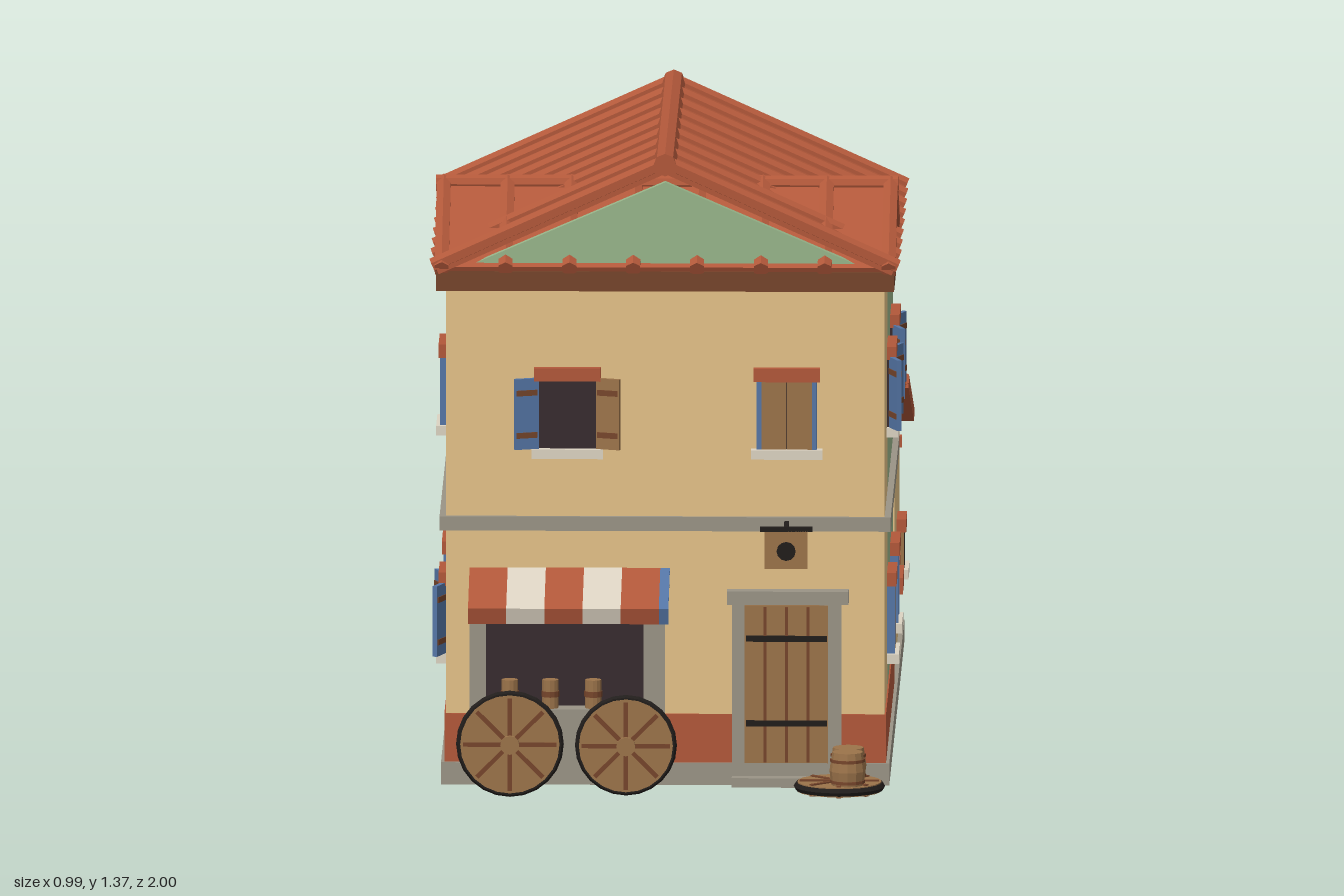
import * as THREE from 'three';

const mat = (name, color) => {
  const m = new THREE.MeshStandardMaterial({ color, flatShading: true });
  m.name = name;
  return m;
};

export function createModel() {
  const tan = mat('tan plaster', 0xe4c288), green = mat('green plaster', 0x98b58a);
  const tile = mat('terracotta', 0xb2583a), stone = mat('grey stone', 0x9a9486);
  const pale = mat('pale stone', 0xdcd3c2), blue = mat('blue paint', 0x5576a6);
  const wood = mat('wood', 0x9b734a), darkWood = mat('dark wood', 0x76452b);
  const dark = mat('dark opening', 0x372c2f), iron = mat('iron', 0x211d1b);
  const house = new THREE.Group();
  house.name = 'house';

  const add = (name, geo, m, x, y, z, parent = house) => {
    const o = new THREE.Mesh(geo, m);
    o.name = name;
    o.position.set(x, y, z);
    parent.add(o);
    return o;
  };
  const group = (name, x, y, z, ry = 0, parent = house) => {
    const g = new THREE.Group();
    g.name = name;
    g.position.set(x, y, z);
    g.rotation.y = ry;
    parent.add(g);
    return g;
  };
  const box = (name, m, w, h, d, x, y, z, p) => add(name, new THREE.BoxGeometry(w, h, d), m, x, y, z, p);
  // box given by its limits on each axis
  const span = (name, m, x0, x1, y0, y1, z0, z1) =>
    box(name, m, x1 - x0, y1 - y0, z1 - z0, (x0 + x1) / 2, (y0 + y1) / 2, (z0 + z1) / 2);
  const cyl = (name, m, r, h, x, y, z, p, sides = 12) =>
    add(name, new THREE.CylinderGeometry(r, r, h, sides), m, x, y, z, p);
  // flat outline extruded along local z
  const plate = (name, m, points, depth, x, y, z, ry = 0) => {
    const shape = new THREE.Shape(points.map(([a, b]) => new THREE.Vector2(a, b)));
    const o = add(name, new THREE.ExtrudeGeometry(shape, { depth, bevelEnabled: false }), m, x, y, z);
    o.rotation.y = ry;
  };

  // Plinth: solid below the house, an open frame below the rear shed
  span('plinth', stone, -0.47, 0.47, 0.03, 0.077, -0.21, 0.81);
  span('underside', green, -0.46, 0.46, 0.027, 0.031, -0.2, 0.47);
  span('rearPlinth', stone, -0.47, 0.47, 0.03, 0.077, -0.975, -0.91);
  for (const s of [-1, 1]) box('sidePlinth', stone, 0.06, 0.047, 0.7, s * 0.44, 0.0535, -0.56);

  // House walls
  span('frontWalls', tan, -0.46, 0.46, 0.077, 1.1, 0.47, 0.8);
  span('rearWalls', green, -0.46, 0.46, 0.077, 1.1, -0.21, 0.47);
  span('wainscot', tile, -0.463, 0.463, 0.077, 0.18, -0.213, 0.803);
  span('stoneBand', stone, -0.473, 0.473, 0.57, 0.6, -0.22, 0.81);
  span('eaveBeam', darkWood, -0.48, 0.48, 1.08, 1.122, -0.223, 0.812);
  const gable = [[-0.45, 0], [0.45, 0], [0, 0.195]];
  plate('frontGable', green, gable, 0.02, 0, 1.115, 0.78);
  plate('rearGable', green, gable, 0.02, 0, 1.115, -0.21);

  // Tiled slope: eave on the local x axis, climbing towards local -z
  const slope = (name, width, run, rise, ribs, x, y, z, ry) => {
    const g = group(name, x, y, z, ry), tilt = group('tiles', 0, 0, 0, 0, g);
    const len = Math.hypot(run, rise);
    tilt.rotation.x = Math.atan2(rise, run);
    box('tileSheet', tile, width, 0.02, len, 0, -0.003, -len / 2, tilt);
    for (let i = 0; i < ribs; i++) {
      const rx = -width / 2 + 0.014 + (i * (width - 0.028)) / (ribs - 1);
      cyl('tileRib', tile, 0.017, len + 0.01, rx, 0.006, -len / 2, tilt, 6).rotation.x = Math.PI / 2;
    }
  };
  const H = Math.PI / 2;
  for (const s of [-1, 1]) slope('mainSlope', 1.04, 0.48, 0.217, 9, s * 0.48, 1.128, 0.297, s * H);
  cyl('mainRidge', tile, 0.024, 1.045, 0, 1.35, 0.297, house, 8).rotation.x = H;
  // Cross gable over the front half
  slope('crossSlope', 0.965, 0.265, 0.135, 8, 0, 1.125, 0.81, 0);
  slope('crossSlope', 0.965, 0.265, 0.135, 8, 0, 1.125, 0.28, Math.PI);
  cyl('crossRidge', tile, 0.018, 0.97, 0, 1.264, 0.545, house, 8).rotation.z = H;
  for (const s of [-1, 1])
    plate('crossGable', tan, [[-0.24, 0], [0.24, 0], [0, 0.125]], 0.02, s * 0.45 - 0.01, 1.117, 0.545, H);

  // Window with sill and lintel, facing local +z
  const windowAt = (kind, x, y, z, ry, leaves = [blue, blue]) => {
    const g = group(kind + 'Window', x, y, z, ry);
    const barred = kind === 'barred', open = kind === 'open';
    const w = barred ? 0.09 : 0.125, h = barred ? 0.085 : 0.15;
    box('opening', dark, w, h, 0.008, 0, 0, 0.003, g);
    box('lintel', tile, w + 0.015, 0.028, 0.028, 0, h / 2 + 0.008, 0.006, g);
    box('sill', pale, w + 0.025, 0.02, 0.034, 0, -h / 2 - 0.01, 0.008, g);
    if (barred) {
      for (const bx of [-0.03, -0.01, 0.01, 0.03]) box('bar', iron, 0.006, h, 0.008, bx, 0, 0.012, g);
      for (const s of [-1, 1]) box('jamb', wood, 0.01, h, 0.014, s * 0.044, 0, 0.008, g);
      return;
    }
    for (const s of [-1, 1]) {
      const leaf = leaves[s < 0 ? 0 : 1];
      const sh = group('shutter', s * (open ? 0.086 : 0.027), 0, open ? 0.018 : 0.011, open ? s * -0.35 : 0, g);
      box('leaf', leaf, 0.052, h, 0.01, 0, 0, 0, sh);
      if (open) for (const hy of [-0.045, 0.045]) box('strap', darkWood, 0.046, 0.012, 0.014, 0, hy, 0, sh);
      else box('jamb', blue, 0.01, h, 0.018, s * 0.058, 0, 0.008, g);
    }
  };
  windowAt('open', -0.205, 0.82, 0.8, 0, [blue, wood]);
  windowAt('closed', 0.255, 0.82, 0.8, 0, [wood, wood]);
  windowAt('open', 0.46, 0.82, 0.47, H, [blue, blue]);
  windowAt('open', 0.46, 0.82, 0.075, H);
  windowAt('closed', 0.46, 0.335, 0.45, H, [blue, wood]);
  windowAt('closed', 0.46, 0.335, 0.075, H);
  windowAt('closed', -0.46, 0.82, 0.46, -H, [wood, blue]);
  windowAt('open', -0.46, 0.335, 0.46, -H);
  windowAt('closed', -0.46, 0.335, 0.075, -H);
  windowAt('closed', 0.225, 0.82, -0.21, Math.PI);
  windowAt('open', -0.21, 0.82, -0.21, Math.PI);

  // Shop front with counter, cups and striped awning lined in blue
  span('shopFrame', stone, -0.41, 0, 0.077, 0.42, 0.79, 0.815);
  span('shopOpening', dark, -0.375, -0.045, 0.2, 0.405, 0.81, 0.818);
  span('counter', stone, -0.38, -0.04, 0.05, 0.2, 0.81, 0.87);
  for (const x of [-0.325, -0.24, -0.15]) {
    cyl('cup', wood, 0.017, 0.06, x, 0.23, 0.845);
    cyl('cupBand', darkWood, 0.019, 0.012, x, 0.23, 0.845);
  }
  const awning = group('awning', 0, 0.49, 0.81);
  awning.rotation.x = 0.29;
  const stripe = (m, x, w) => {
    box('awningStripe', m, w, 0.004, 0.195, x, 0, 0.0975, awning);
    box('awningValance', m, w, 0.035, 0.004, x, -0.016, 0.193, awning);
  };
  for (let i = 0; i < 5; i++) stripe(i % 2 ? pale : tile, -0.37 + i * 0.08, 0.08);
  stripe(blue, 0, 0.02);
  box('awningLining', blue, 0.42, 0.003, 0.19, -0.2, -0.004, 0.095, awning);
  box('valanceLining', blue, 0.42, 0.032, 0.003, -0.2, -0.017, 0.189, awning);

  // Door with stone surround, straps and step
  span('doorFrame', stone, 0.14, 0.37, 0.077, 0.42, 0.79, 0.82);
  span('doorLintel', stone, 0.13, 0.385, 0.418, 0.446, 0.79, 0.835);
  span('door', wood, 0.167, 0.342, 0.08, 0.415, 0.81, 0.826);
  for (const x of [0.21, 0.255, 0.3]) box('plankGap', darkWood, 0.006, 0.33, 0.006, x, 0.247, 0.826);
  for (const y of [0.165, 0.345]) box('doorStrap', iron, 0.17, 0.012, 0.008, 0.255, y, 0.828);
  span('doorStep', stone, 0.14, 0.35, 0.03, 0.05, 0.8, 0.84);

  // Hanging sign on an iron bracket
  span('signBracket', iron, 0.25, 0.26, 0.58, 0.592, 0.8, 0.88);
  box('signRail', iron, 0.11, 0.01, 0.012, 0.255, 0.586, 0.875);
  box('signBoard', wood, 0.09, 0.08, 0.012, 0.255, 0.542, 0.875);
  for (const s of [-1, 1]) cyl('signDisc', iron, 0.02, 0.004, 0.255, 0.54, 0.875 + s * 0.0075).rotation.x = H;

  // Spoked wheels, axis along local y
  const wheel = (r, x, y, z) => {
    const g = group('wheel', x, y, z);
    cyl('wheelDisc', wood, r * 0.93, 0.02, 0, 0, 0, g, 24);
    add('rim', new THREE.TorusGeometry(r - 0.008, 0.009, 6, 24), iron, 0, 0, 0, g).rotation.x = H;
    for (let i = 0; i < 4; i++) box('spoke', darkWood, r * 1.75, 0.026, 0.009, 0, 0, 0, g).rotation.y = (i * Math.PI) / 4;
    cyl('hub', wood, 0.02, 0.045, 0, 0, 0, g);
    return g;
  };
  wheel(0.112, -0.323, 0.14, 0.945).rotation.x = H;
  wheel(0.106, -0.08, 0.135, 0.93).rotation.x = H;
  wheel(0.095, 0.367, 0.045, 0.9);

  const barrel = (r, h, x, y, z) => {
    const g = group('barrel', x, y, z);
    const profile = [[0, 0], [0.85, 0], [1, 0.5], [0.85, 1], [0, 1]];
    add('staves', new THREE.LatheGeometry(profile.map(([a, b]) => new THREE.Vector2(a * r, b * h)), 12), wood, 0, 0, 0, g);
    for (const t of [0.22, 0.78]) cyl('hoop', darkWood, r * 0.97, h * 0.08, 0, h * t, 0, g);
  };
  barrel(0.038, 0.08, 0.385, 0.045, 0.945);
  barrel(0.038, 0.075, 0.385, 0.045, 0.86);
  barrel(0.033, 0.25, 0.33, 0.05, -0.29);

  // Yard walls and string course along the sides
  for (const s of [-1, 1]) {
    box('yardWall', tan, 0.04, 0.19, 0.16, s * 0.44, 0.17, -0.285);
    box('yardWallCap', tile, 0.075, 0.035, 0.16, s * 0.443, 0.28, -0.285);
    box('stringCourse', tile, 0.02, 0.02, 1.28, s * 0.458, 0.268, -0.33);
  }

  // Rear shed, open towards the yard
  const side = [[0.36, 0.077], [0.97, 0.077], [0.97, 0.505], [0.36, 0.678]];
  for (const s of [-1, 1]) plate('shedSide', tan, side, 0.04, s * 0.44 - 0.02, 0, 0, H);
  span('shedBack', tan, -0.46, 0.46, 0.077, 0.505, -0.97, -0.93);
  span('shedBackCourse', tile, -0.465, 0.465, 0.445, 0.468, -0.985, -0.96);
  slope('shedRoof', 0.98, 0.635, 0.18, 8, 0, 0.509, -0.99, Math.PI);
  for (const s of [-1, 1]) {
    windowAt('barred', s * 0.46, 0.285, -0.68, s * H);
    windowAt('barred', s * 0.255, 0.285, -0.97, Math.PI);
    box('shedPost', wood, 0.03, 0.58, 0.03, s * 0.4, 0.36, -0.385);
  }
  box('shedBeam', wood, 0.88, 0.035, 0.035, 0, 0.645, -0.385);
  for (let i = 0; i < 7; i++)
    box('rafter', wood, 0.025, 0.03, 0.58, -0.36 + i * 0.12, 0.565, -0.67).rotation.x = -0.276;

  // Timber press, stacked crates and trestle table in the yard
  box('pressBed', wood, 0.3, 0.04, 0.16, -0.08, 0.1, -0.55);
  for (const x of [-0.21, 0.05]) box('pressPost', wood, 0.035, 0.38, 0.035, x, 0.26, -0.55);
  box('pressBeam', darkWood, 0.34, 0.04, 0.045, -0.08, 0.44, -0.55);
  cyl('pressScrew', darkWood, 0.015, 0.28, -0.08, 0.31, -0.55);
  wheel(0.08, -0.08, 0.36, -0.55);
  for (let i = 0; i < 3; i++) box('crate', i % 2 ? darkWood : wood, 0.13, 0.06, 0.13, -0.11, 0.11 + i * 0.062, -0.305);
  for (let i = 0; i < 4; i++) box('plank', wood, 0.12, 0.012, 0.015, -0.02, 0.2, -0.3 + i * 0.02);
  box('tableTop', wood, 0.34, 0.02, 0.14, 0.225, 0.17, -0.4);
  for (const x of [0.08, 0.37])
    for (const s of [-1, 1]) box('tableLeg', wood, 0.022, 0.175, 0.022, x, 0.09, -0.4 + s * 0.045).rotation.x = -s * 0.25;
  return house;
}
